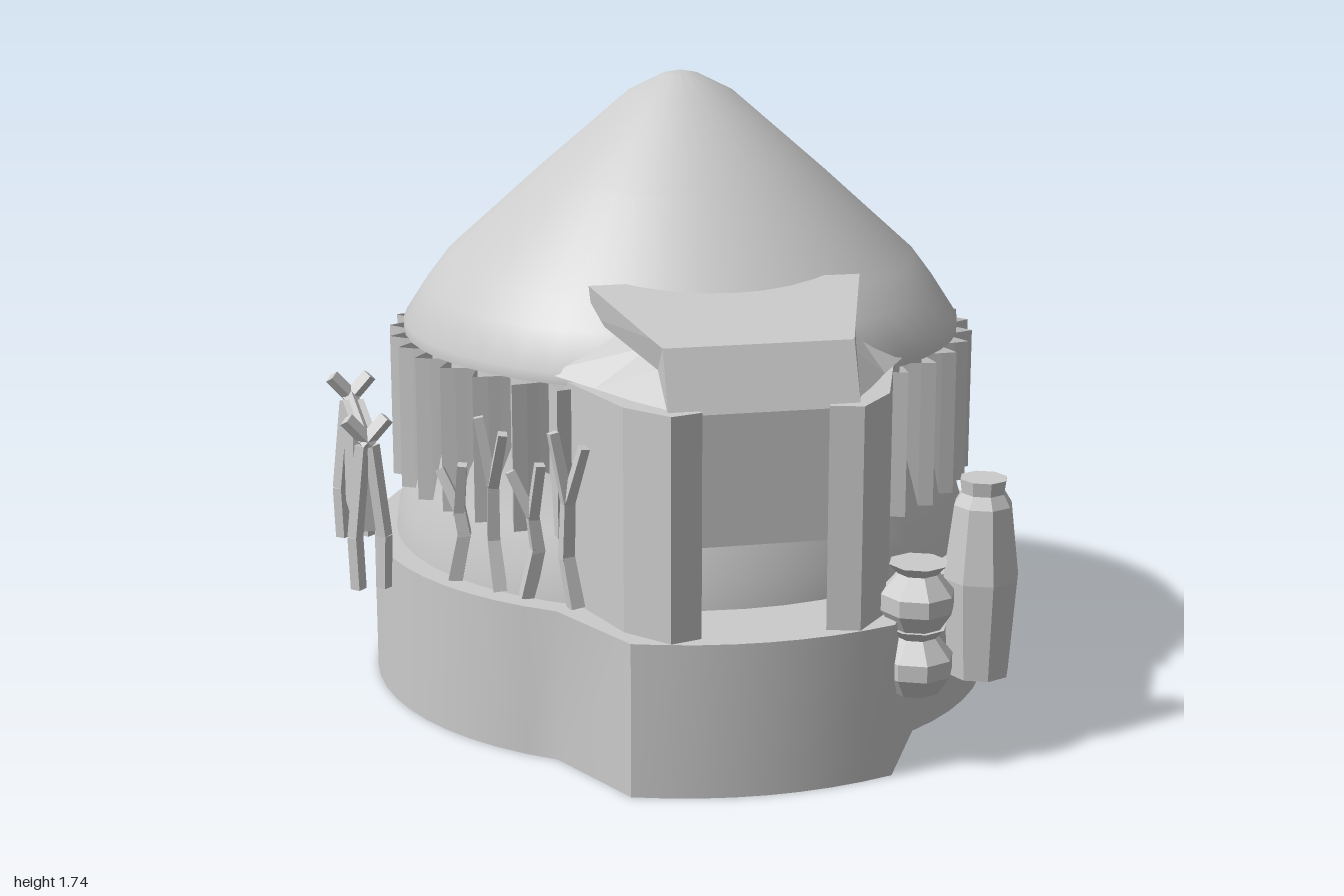
import * as THREE from 'three';
import { toCreasedNormals } from 'three/addons/utils/BufferGeometryUtils.js';

const CX = 0.06, CZ = -0.1; // centre of the round hut
const smooth = new THREE.MeshStandardMaterial({ color: 0xcccccc, side: THREE.DoubleSide });
const flat = new THREE.MeshStandardMaterial({ color: 0xcccccc, side: THREE.DoubleSide, flatShading: true });

function add(parent, name, geo, mat = flat, x = 0, y = 0, z = 0) {
  const m = new THREE.Mesh(geo, mat);
  m.name = name;
  m.position.set(x, y, z);
  parent.add(m);
  return m;
}

const v2 = (pts) => pts.map(([a, b]) => new THREE.Vector2(a, b));
const lathe = (pts, n) => new THREE.LatheGeometry(v2(pts), n);

// Joins point rings of equal length into a skin; caps close the first and last ring
function loft(rings, closed = true, caps = false) {
  const n = rings[0].length, idx = [];
  for (let i = 0; i < rings.length - 1; i++) {
    for (let j = 0; j < (closed ? n : n - 1); j++) {
      const a = i * n + j, b = i * n + (j + 1) % n;
      idx.push(a, b, b + n, a, b + n, a + n);
    }
  }
  if (caps) {
    const e = (rings.length - 1) * n;
    for (let j = 1; j < n - 1; j++) idx.push(0, j + 1, j, e, e + j, e + j + 1);
  }
  const g = new THREE.BufferGeometry();
  g.setAttribute('position', new THREE.Float32BufferAttribute(rings.flat(2), 3));
  g.setIndex(idx);
  g.computeVertexNormals();
  return g;
}

// Upright prism over a plan of [x, z] points
function prism(plan, y0, y1) {
  const shape = new THREE.Shape(v2(plan.map(([x, z]) => [x, -z])));
  const g = new THREE.ExtrudeGeometry(shape, { depth: y1 - y0, bevelEnabled: false });
  return g.rotateX(-Math.PI / 2).translate(0, y0, 0);
}

// Angular stick between two points
function stick(parent, name, a, b, r0, r1) {
  const p = new THREE.Vector3(...a), d = new THREE.Vector3(...b).sub(p);
  const m = add(parent, name, new THREE.CylinderGeometry(r1, r0, d.length(), 4));
  m.position.copy(p).addScaledVector(d, 0.5);
  m.quaternion.setFromUnitVectors(new THREE.Vector3(0, 1, 0), d.normalize());
}

function buildBase(g) {
  // Round platform with a shallow bowed porch at the front, open underneath
  const plan = [], open = 0.585;
  for (let i = 0; i <= 48; i++) {
    const a = open + (i / 48) * (2 * Math.PI - 2 * open);
    plan.push([CX + 0.895 * Math.sin(a), CZ + 0.895 * Math.cos(a)]);
  }
  for (let i = 0; i <= 8; i++) {
    const t = -1 + i / 4;
    plan.push([CX + 0.35 * t, 0.99 - 0.06 * t * t]);
  }
  const rings = [0, 0.42].map((y) => plan.map(([x, z]) => [x, y, z]));
  add(g, 'platformWall', toCreasedNormals(loft(rings), 0.5), smooth);
  const top = new THREE.ShapeGeometry(new THREE.Shape(v2(plan.map(([x, z]) => [x, -z]))));
  add(g, 'platformFloor', top.rotateX(-Math.PI / 2), flat, 0, 0.42, 0);
}

function buildHut(g) {
  const wall = lathe([[0.83, 0.42], [0.82, 0.5], [0.79, 0.6], [0.74, 0.76], [0.72, 1.01]], 48);
  add(g, 'innerWall', wall, smooth, CX, 0, CZ);

  const roof = lathe([[0, 1.0], [0.795, 1.01], [0.795, 1.04], [0.73, 1.14], [0.67, 1.22],
    [0.41, 1.455], [0.15, 1.68], [0.05, 1.73], [0, 1.74]], 48);
  add(g, 'roof', toCreasedNormals(roof, 0.6), smooth, CX, 0, CZ);

  // Pleated cladding with ragged tips, left open behind the doorway
  const lower = [], upper = [], N = 34, gap = 0.36;
  const pleat = [[0, 0.76, 0.78], [0.14, 0.78, 0.76], [0.3, 0.806, 0.6],
    [0.5, 0.838, 0.6], [0.7, 0.806, 0.6], [0.86, 0.78, 0.74]];
  for (let i = 0; i < N; i++) {
    for (const [t, r, y] of pleat) {
      const a = gap + ((i + t) / N) * (2 * Math.PI - 2 * gap);
      const x = CX + r * Math.sin(a), z = CZ + r * Math.cos(a);
      const lift = y > 0.7 ? 0.03 * Math.sin(i * 2.3) : 0;
      lower.push([x, y + lift, z]);
      upper.push([x, 1.005, z]);
    }
  }
  add(g, 'pleatedCladding', loft([lower, upper], false));
}

function buildEntrance(g) {
  const porch = new THREE.Group();
  porch.name = 'entrance';
  porch.position.x = CX;
  g.add(porch);
  add(porch, 'doorPanel', new THREE.BoxGeometry(0.56, 0.41, 0.03), flat, 0, 0.8, 0.71);

  // Mirrored side walls curling in to the doorway
  const side = [[0.45, 0.54], [0.35, 0.84], [0.25, 0.955], [0.165, 0.93], [0.18, 0.88], [0.27, 0.82], [0.37, 0.54]];
  for (const s of [1, -1]) {
    add(porch, s > 0 ? 'leftPorchWall' : 'rightPorchWall', prism(side.map(([x, z]) => [s * x, z]), 0.42, 1.02));
  }

  // Each section: [half width, y, z] of the top and of the bottom edge
  const section = ([w, y, z], [w2, y2, z2]) => [[-w, y, z], [w, y, z], [w2, y2, z2], [-w2, y2, z2]];
  const hood = [
    section([0.37, 1.255, 0.47], [0.36, 1.17, 0.47]),
    section([0.268, 1.182, 0.79], [0.25, 1.1, 0.79]),
    section([0.25, 1.17, 0.85], [0.25, 1.01, 0.92]),
  ];
  add(porch, 'hood', loft(hood, true, true));
  const flare = [
    section([0.32, 1.15, 0.5], [0.5, 1.035, 0.5]),
    section([0.25, 1.14, 0.7], [0.39, 1.025, 0.66]),
    section([0.23, 1.11, 0.8], [0.24, 1.015, 0.905]),
  ];
  add(porch, 'hoodFlare', loft(flare, true, true));
}

function buildPots(g) {
  const tall = [[0, 0], [0.085, 0], [0.105, 0.5], [0.08, 0.87], [0.06, 0.93], [0.065, 1], [0, 1]];
  const round = [[0, 0], [0.065, 0], [0.1, 0.3], [0.1, 0.55], [0.055, 0.85], [0.08, 1], [0, 1]];
  const pot = (name, profile, h, x, y, z) =>
    add(g, name, lathe(profile.map(([r, t]) => [r, t * h]), 8), flat, x, y, z);
  pot('tallFrontJar', tall, 0.545, 0.695, 0.21, 0.77);
  pot('lowerFrontPot', round, 0.18, 0.49, 0.21, 0.865);
  pot('upperFrontPot', round, 0.18, 0.49, 0.385, 0.865);
  pot('tallBackJar', tall, 0.42, -0.4, 0.335, -0.89);
  pot('smallBackPot', round, 0.23, -0.59, 0.33, -0.765);
}

function buildRack(g) {
  const rack = new THREE.Group();
  rack.name = 'hangingRack';
  rack.position.x = -0.88;
  g.add(rack);
  // Crossed, bowed poles at both ends
  for (const z of [-0.27, 0.21]) {
    for (const s of [1, -1]) {
      const pts = [[0.035 * s, 0.37, z], [0.04 * s, 0.52, z], [0.012 * s, 0.78, z], [-0.055 * s, 0.855, z]];
      for (let i = 0; i < 3; i++) stick(rack, 'pole', pts[i], pts[i + 1], 0.022, 0.022);
    }
  }
  stick(rack, 'crossbar', [0, 0.79, -0.28], [0, 0.79, 0.22], 0.022, 0.022);
  add(rack, 'hangingHide', new THREE.BoxGeometry(0.06, 0.3, 0.31), flat, 0, 0.65, -0.05);
}

function buildBranches(g) {
  // Forked branches leaning on the wall: [x, z, height]
  const spots = [[-0.64, 0.34, 0.76], [-0.56, 0.43, 0.9], [-0.47, 0.52, 0.8], [-0.39, 0.61, 0.9],
    [0.58, -0.8, 0.77], [0.67, -0.7, 0.9], [0.74, -0.62, 0.8], [0.8, -0.51, 0.9]];
  spots.forEach(([x, z, h], i) => {
    const b = new THREE.Group();
    b.name = 'branch';
    b.position.set(x, 0, z);
    b.rotation.y = Math.atan2(x - CX, z - CZ);
    g.add(b);
    const s = i % 2 ? 1 : -1, k = 0.42 + (h - 0.42) * 0.62;
    stick(b, 'stem', [0.02 * s, 0.42, 0.01], [-0.01 * s, 0.56, 0], 0.027, 0.024);
    stick(b, 'stem', [-0.01 * s, 0.55, 0], [0, k, 0.01], 0.024, 0.022);
    stick(b, 'twig', [0, k - 0.01, 0.01], [0.055 * s, h - 0.03, 0.03], 0.02, 0.017);
    stick(b, 'twig', [0, k - 0.02, 0.01], [-0.035 * s, h, 0.025], 0.02, 0.018);
  });
}

export function createModel() {
  const g = new THREE.Group();
  g.name = 'hut';
  buildBase(g);
  buildHut(g);
  buildEntrance(g);
  buildPots(g);
  buildRack(g);
  buildBranches(g);
  return g;
}
